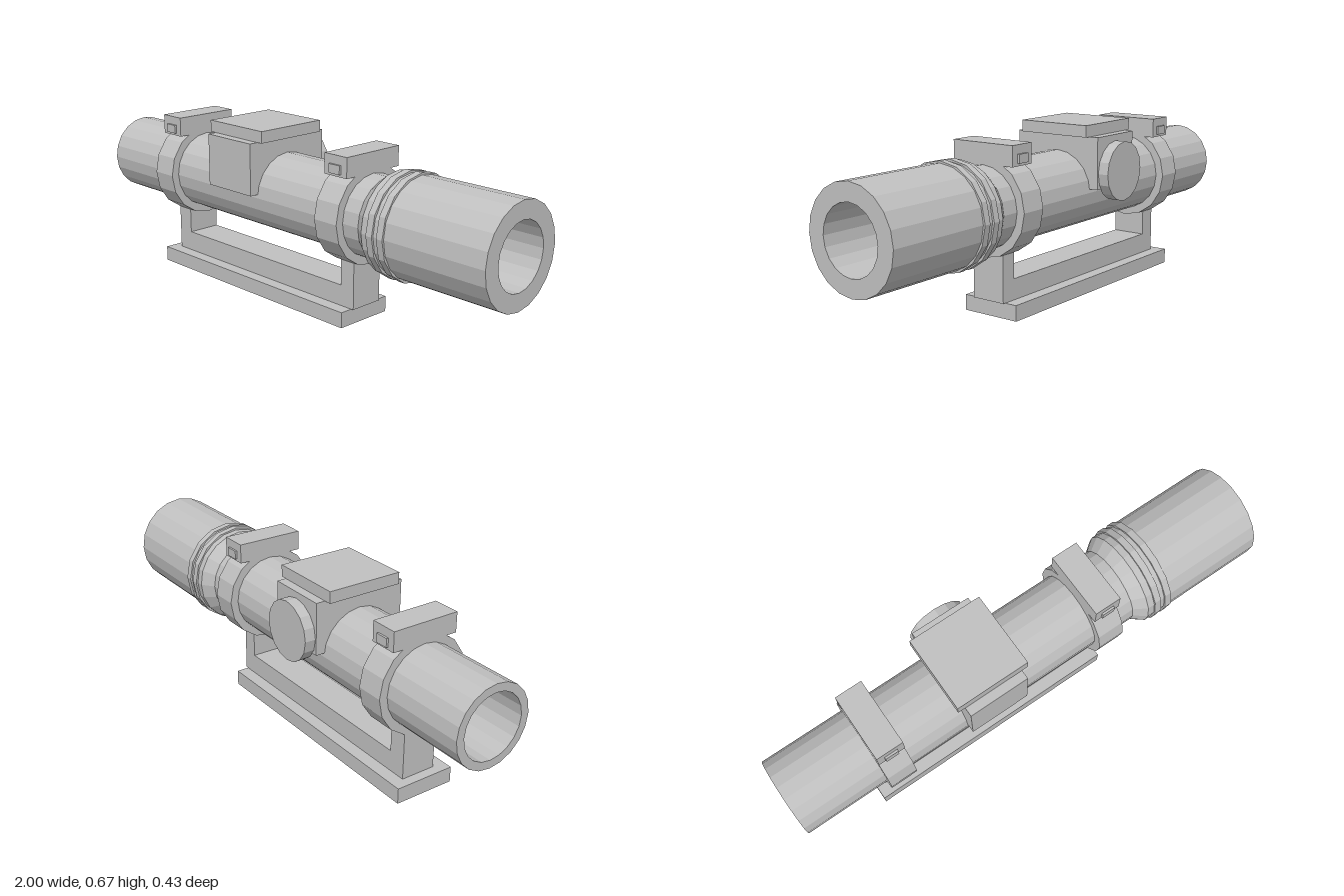
import * as THREE from 'three';

const AXIS_Y = 0.411, AXIS_Z = 0.017;

export function createModel() {
  const model = new THREE.Group();
  model.name = 'scope';
  const grey = new THREE.MeshStandardMaterial({ color: 0xc0c0c0 });
  grey.name = 'grey';

  function add(name, geometry) {
    const mesh = new THREE.Mesh(geometry, grey);
    mesh.name = name;
    model.add(mesh);
    return mesh;
  }

  // Box given by its limits on each axis
  function box(name, x0, x1, y0, y1, z0, z1) {
    const mesh = add(name, new THREE.BoxGeometry(x1 - x0, y1 - y0, z1 - z0));
    mesh.position.set((x0 + x1) / 2, (y0 + y1) / 2, (z0 + z1) / 2);
  }

  // Faceted solid turned about the sight axis; profile is [x, radius] pairs
  function turned(name, profile, sides) {
    const points = profile.map(([x, r]) => new THREE.Vector2(r, x));
    const geometry = new THREE.LatheGeometry(points, sides).rotateZ(-Math.PI / 2).toNonIndexed();
    geometry.computeVertexNormals();
    add(name, geometry).position.set(0, AXIS_Y, AXIS_Z);
  }

  const ring = (name, x0, x1, inner, outer) =>
    turned(name, [[x0, inner], [x0, outer], [x1, outer], [x1, inner], [x0, inner]], 16);

  // Hollow main tube widening into the objective bell
  turned('mainTube', [
    [-1, 0.122], [-1, 0.153], [0.44, 0.153], [0.487, 0.188],
    [1, 0.188], [1, 0.122], [-1, 0.122],
  ], 20);

  // Grip ridges on the bell
  for (const x of [0.515, 0.562]) ring('bellRidge', x, x + 0.027, 0.17, 0.196);

  // Clamp rings with their top blocks and side screws
  for (const [x0, x1] of [[-0.667, -0.56], [0.26, 0.368]]) {
    const mid = (x0 + x1) / 2;
    ring('clampRing', x0, x1, 0.145, 0.185);
    box('clampBlock', x0, x1, 0.567, 0.643, -0.117, 0.152);
    box('clampScrews', mid - 0.026, mid + 0.026, 0.577, 0.61, -0.125, 0.16);
  }

  // Adjustment turret with its cap and side knob
  box('turretBody', -0.316, -0.075, 0.425, 0.625, -0.17, 0.204);
  box('turretCap', -0.345, -0.05, 0.625, 0.67, -0.134, 0.168);
  const knob = new THREE.CylinderGeometry(0.115, 0.115, 0.045, 16).rotateX(Math.PI / 2).toNonIndexed();
  knob.computeVertexNormals();
  add('sideKnob', knob).position.set(-0.196, 0.486, -0.19);

  // Mount: base plate, rail and two posts reaching into the tube
  box('basePlate', -0.705, 0.335, 0, 0.06, -0.102, 0.136);
  box('mountRail', -0.667, 0.346, 0.06, 0.14, -0.052, 0.086);
  for (const [x0, x1] of [[-0.667, -0.597], [0.282, 0.346]])
    box('mountPost', x0, x1, 0.14, 0.337, -0.052, 0.086);

  return model;
}
